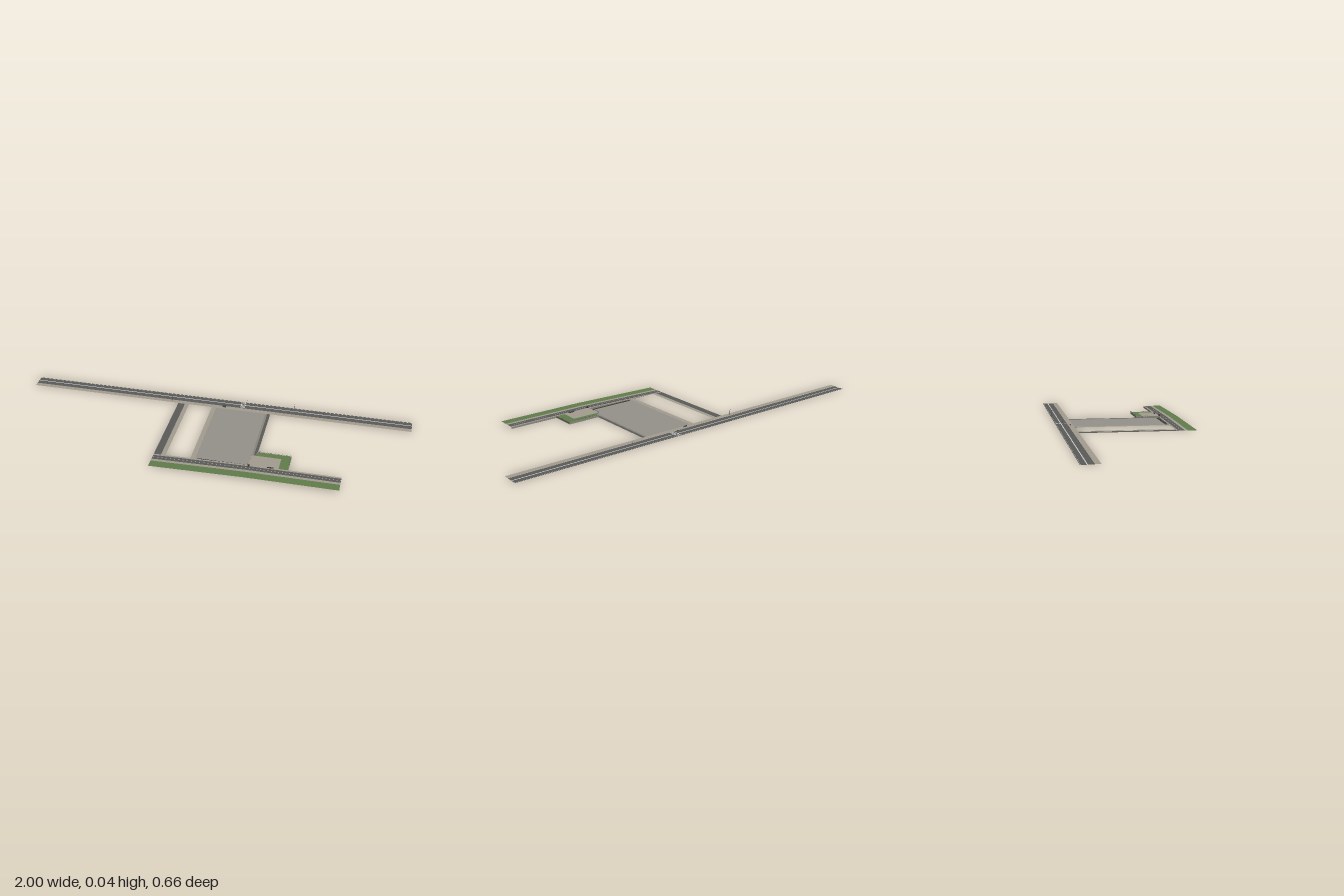
import * as THREE from 'three';

const mat = (color) => new THREE.MeshStandardMaterial({ color, side: THREE.DoubleSide });
const asphalt = mat(0x5b5b59), paving = mat(0xa39d90), grass = mat(0x617d4c), lotGrey = mat(0x95928b);
const concrete = mat(0x88857a), paint = mat(0xcccccc), dark = mat(0x3d3833), metal = mat(0x55565a);

const TOP = 0.01;
// The front street climbs from ground level to the raised terrace
const rise = (x) => TOP * THREE.MathUtils.clamp((x + 0.2) / 0.46, 0, 1);

export function createModel() {
  const root = new THREE.Group();
  const add = (name, geo, material, parent = root) => {
    const m = new THREE.Mesh(geo, material);
    m.name = name;
    parent.add(m);
    return m;
  };

  // Thin ground sheet; its height can follow a rule along x
  const sheet = (name, x0, x1, z0, z1, material, y = 0, height = () => 0) => {
    const geo = new THREE.PlaneGeometry(x1 - x0, z1 - z0, 45, 1).rotateX(-Math.PI / 2);
    geo.translate((x0 + x1) / 2, 0, (z0 + z1) / 2);
    const p = geo.attributes.position;
    for (let i = 0; i < p.count; i++) p.setY(i, y + height(p.getX(i)));
    geo.computeVertexNormals();
    return add(name, geo, material);
  };
  const box = (name, x0, x1, y0, y1, z0, z1, material, parent) => {
    const geo = new THREE.BoxGeometry(x1 - x0, y1 - y0, z1 - z0);
    return add(name, geo.translate((x0 + x1) / 2, (y0 + y1) / 2, (z0 + z1) / 2), material, parent);
  };

  // Back avenue: two carriageways, centre line, pavement
  sheet('backRoad', -1, 1, -0.33, -0.27, asphalt);
  sheet('backCentreLine', -1, 1, -0.303, -0.298, paint, 0.0004);
  sheet('backEdgeLine', -1, 1, -0.327, -0.326, paint, 0.0004);
  sheet('backPavement', -1, 1, -0.27, -0.245, paving, 0.001);

  // Side street
  sheet('sideRoad', -0.203, -0.167, -0.245, 0.235, asphalt);
  sheet('sidePavement', -0.167, -0.145, -0.245, 0.23, paving, 0.001);

  // Central lot with its edges
  sheet('lotPavement', -0.022, 0, -0.245, 0.23, paving, 0.001);
  sheet('lot', 0, 0.26, -0.245, 0.23, lotGrey, 0.0005);
  sheet('lotEdge', 0.26, 0.27, -0.245, 0.16, concrete, 0.0005);
  sheet('lotChannel', 0.27, 0.285, -0.245, 0.16, asphalt, 0.0005);
  sheet('lotDrain', 0.012, 0.26, 0.215, 0.228, dark, 0.001);

  // Front street, climbing towards its left end
  const front = [
    ['frontKerb', 0.226, 0.236, paving], ['frontRoad', 0.236, 0.267, asphalt],
    ['frontPavement', 0.267, 0.283, paving], ['frontVerge', 0.283, 0.327, grass],
  ];
  for (const [name, z0, z1, m] of front) sheet(name, -0.203, 0.7, z0, z1, m, 0.0005, rise);
  sheet('frontCentreLine', -0.2, 0.7, 0.251, 0.252, paint, 0.0008, rise);

  // Retaining wall under the front street
  const wall = new THREE.Shape();
  wall.moveTo(-0.2, 0).lineTo(0.7, 0).lineTo(0.7, TOP).lineTo(0.26, TOP).closePath();
  add('retainingWall', new THREE.ShapeGeometry(wall), concrete).position.z = 0.23;

  // Raised terrace with lawn and walls
  sheet('terracePaving', 0.26, 0.405, 0.145, 0.23, paving, TOP + 0.0005);
  sheet('terraceLawnBack', 0.285, 0.45, 0.112, 0.145, grass, TOP);
  sheet('terraceLawnSide', 0.405, 0.45, 0.145, 0.23, grass, TOP);
  box('terraceWallLeft', 0.448, 0.45, 0, TOP, 0.112, 0.232, concrete);
  box('terraceWallBack', 0.283, 0.45, 0, TOP, 0.112, 0.114, concrete);
  box('terraceWallRight', 0.283, 0.285, 0, TOP, 0.112, 0.145, concrete);
  box('terraceWallLot', 0.26, 0.262, 0, TOP, 0.145, 0.23, concrete);
  box('terraceWallNook', 0.26, 0.285, 0, TOP, 0.145, 0.147, concrete);

  // Railings made of posts and rails between two points
  const railing = (name, a, b, posts) => {
    const g = new THREE.Group();
    g.name = name;
    root.add(g);
    const curve = new THREE.LineCurve3(new THREE.Vector3(...a), new THREE.Vector3(...b));
    for (let i = 0; i <= posts; i++) {
      const p = curve.getPoint(i / posts);
      add('post', new THREE.BoxGeometry(0.0006, 0.0045, 0.0006), metal, g).position.set(p.x, p.y + 0.002, p.z);
    }
    const rail = add('rail', new THREE.TubeGeometry(curve, 1, 0.0003, 4), metal, g);
    rail.position.y = 0.0042;
  };
  railing('streetRailing', [0.012, rise(0.012), 0.23], [0.26, TOP, 0.23], 24);
  railing('terraceRailingRight', [0.261, TOP, 0.146], [0.261, TOP, 0.185], 5);
  railing('terraceRailingBack', [0.285, TOP, 0.113], [0.449, TOP, 0.113], 16);
  railing('terraceRailingLeft', [0.449, TOP, 0.113], [0.449, TOP, 0.185], 7);

  // Small kiosk and bench on the terrace
  box('kiosk', 0.262, 0.268, TOP, 0.02, 0.232, 0.238, dark);
  box('bench', 0.35, 0.38, TOP, 0.013, 0.224, 0.23, dark);

  // Crossing on the back avenue
  for (let i = 0; i < 7; i++) {
    const z = -0.325 + i * 0.008;
    sheet('crossingStripe', 0.12, 0.145, z, z + 0.004, paint, 0.0007);
  }

  // Street lamps with a short arm
  const lamp = (x, y, z, height, reach) => {
    const g = new THREE.Group();
    g.name = 'streetLamp';
    g.position.set(x, y, z);
    root.add(g);
    add('lampPole', new THREE.CylinderGeometry(0.0005, 0.0007, height, 6), metal, g).position.y = height / 2;
    const z0 = Math.min(0, reach), z1 = Math.max(0, reach);
    box('lampArm', -0.0005, 0.0005, height - 0.0008, height, z0, z1, metal, g);
  };
  lamp(-0.24, 0, -0.261, 0.032, -0.007);
  lamp(0.4, 0, -0.327, 0.032, 0.007);
  lamp(0.262, TOP, 0.247, 0.028, -0.004);

  // Signal posts beside the crossing
  for (const [x, z] of [[0.117, -0.294], [0.148, -0.326]]) {
    box('signalPost', x - 0.0005, x + 0.0005, 0, 0.015, z - 0.0005, z + 0.0005, metal);
    box('signalHead', x - 0.001, x + 0.001, 0.012, 0.015, z - 0.0008, z + 0.0008, dark);
  }

  // Stop shelter on the back pavement
  box('shelterRoof', 0.03, 0.05, 0.0075, 0.008, -0.264, -0.258, dark);
  box('shelterBack', 0.03, 0.05, 0.001, 0.0075, -0.2585, -0.258, metal);

  return root;
}
